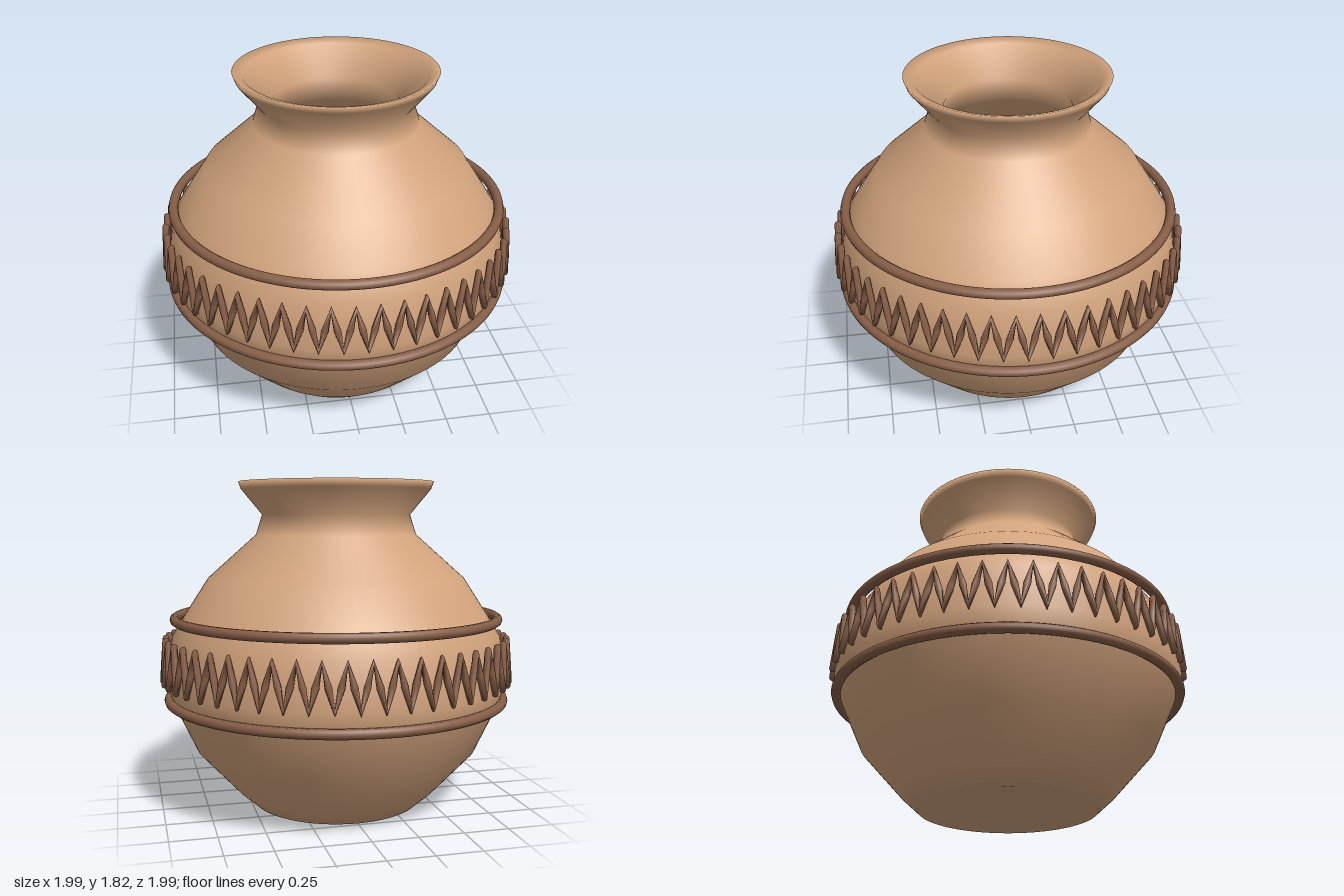
import * as THREE from 'three';

const clay = new THREE.MeshStandardMaterial({ color: 0xd2a37c });
clay.name = 'light clay';
const trim = new THREE.MeshStandardMaterial({ color: 0x875e47 });
trim.name = 'brown clay';

export function createModel() {
  const pot = new THREE.Group();
  pot.name = 'pot';

  const add = (name, geometry, material, y = 0) => {
    const mesh = new THREE.Mesh(geometry, material);
    mesh.name = name;
    mesh.position.y = y;
    pot.add(mesh);
    return mesh;
  };

  // Hollow body: up the outside, over the lip, down the inside
  const profile = [
    [0, 0], [0.48, 0], [0.58, 0.09], [0.8, 0.33], [0.92, 0.59],
    [0.965, 0.72], [0.925, 0.97], [0.85, 1.09], [0.72, 1.29],
    [0.45, 1.53], [0.415, 1.64], [0.53, 1.78], [0.545, 1.82],
    [0.49, 1.8], [0.34, 1.64], [0.39, 1.49], [0.66, 1.24],
    [0.86, 0.95], [0.88, 0.72], [0.73, 0.37], [0.48, 0.14], [0, 0.06],
  ].map(([r, y]) => new THREE.Vector2(r, y));
  add('body', new THREE.LatheGeometry(profile, 96), clay);

  // Raised bands above and below the zigzag
  for (const [name, radius, y] of [['upperBand', 0.908, 1.065], ['lowerBand', 0.948, 0.615]]) {
    add(name, new THREE.TorusGeometry(radius, 0.027, 10, 96).rotateX(Math.PI / 2), trim, y);
  }

  // Zigzag cord: 50 peaks, leaning slightly outward at the bottom
  const turns = 100;
  const points = [];
  for (let i = 0; i < turns; i++) {
    const angle = (i / turns) * Math.PI * 2;
    const peak = i % 2 === 0;
    const r = peak ? 0.96 : 0.977;
    points.push(new THREE.Vector3(Math.cos(angle) * r, peak ? 0.955 : 0.722, Math.sin(angle) * r));
  }
  const path = new THREE.CatmullRomCurve3(points, true);
  path.arcLengthDivisions = 4000;
  add('zigzag', new THREE.TubeGeometry(path, turns * 2, 0.019, 8, true), trim);

  return pot;
}
